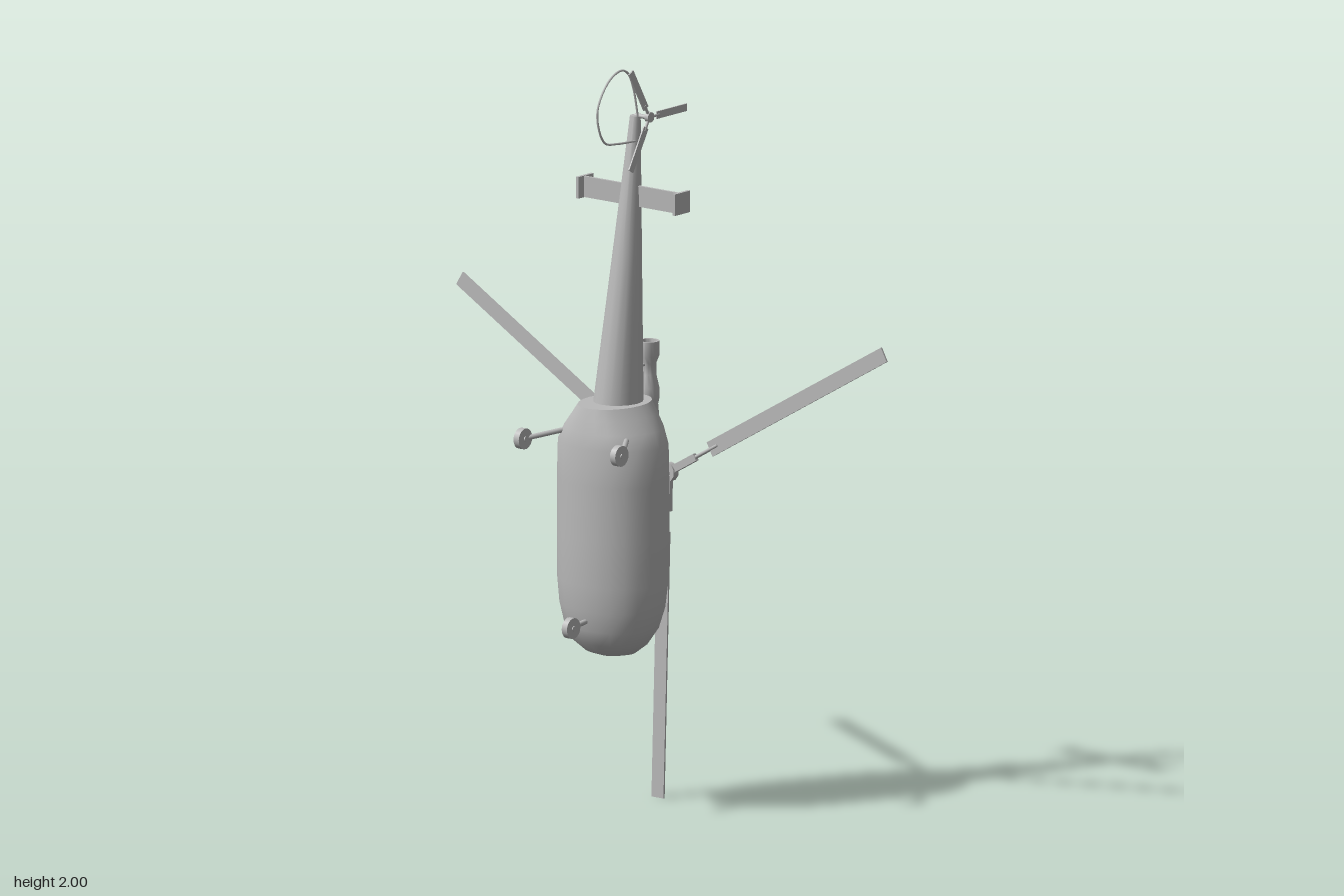
import * as THREE from 'three';
import { toCreasedNormals } from 'three/addons/utils/BufferGeometryUtils.js';

const V = (x, y, z) => new THREE.Vector3(x, y, z);

// Skin over elliptical sections, each row = [y, half width, front z, back z], closed at both ends
function loft(rows, seg = 24) {
  const pos = [], idx = [];
  const mid = (r) => [r[0], 0.0005, (r[2] + r[3]) / 2 + 0.0005, (r[2] + r[3]) / 2 - 0.0005];
  const all = [mid(rows[0]), ...rows, mid(rows[rows.length - 1])];
  all.forEach(([y, w, zf, zb], i) => {
    for (let j = 0; j < seg; j++) {
      const a = (j / seg) * Math.PI * 2;
      pos.push(Math.cos(a) * w, y, (zf + zb) / 2 + (Math.sin(a) * (zf - zb)) / 2);
      if (i < all.length - 1) {
        const p = i * seg + j, q = i * seg + ((j + 1) % seg);
        idx.push(p, p + seg, q, q, p + seg, q + seg);
      }
    }
  });
  const g = new THREE.BufferGeometry();
  g.setAttribute('position', new THREE.Float32BufferAttribute(pos, 3));
  g.setIndex(idx);
  return toCreasedNormals(g, 0.65);
}

export function createModel() {
  const model = new THREE.Group();
  model.name = 'helicopter';
  const grey = new THREE.MeshStandardMaterial({ color: 0xb9b9b9 });
  grey.name = 'light grey';

  const add = (name, geo, parent = model, x = 0, y = 0, z = 0) => {
    const m = new THREE.Mesh(geo, grey);
    m.name = name;
    m.position.set(x, y, z);
    parent.add(m);
    return m;
  };
  const box = (name, w, h, d, x, y, z, parent) =>
    add(name, new THREE.BoxGeometry(w, h, d), parent, x, y, z);
  const rod = (name, a, b, r, parent) => {
    const m = add(name, new THREE.CylinderGeometry(r, r, a.distanceTo(b), 10), parent);
    m.position.copy(a).lerp(b, 0.5);
    m.quaternion.setFromUnitVectors(V(0, 1, 0), b.clone().sub(a).normalize());
    return m;
  };

  // Body with its nose pointing down and belly towards +z
  add('fuselage', loft([
    [0.428, 0.035, 0.06, 0.01], [0.437, 0.075, 0.085, -0.02], [0.465, 0.113, 0.113, -0.047],
    [0.505, 0.137, 0.13, -0.076], [0.56, 0.152, 0.142, -0.094], [0.63, 0.159, 0.148, -0.104],
    [0.75, 0.16, 0.149, -0.108], [0.9, 0.16, 0.149, -0.108], [1.0, 0.157, 0.148, -0.108],
    [1.04, 0.137, 0.141, -0.107], [1.075, 0.109, 0.134, -0.104], [1.105, 0.086, 0.127, -0.1],
  ]));
  add('tailBoom', loft([
    [1.08, 0.066, 0.072, -0.07], [1.5, 0.038, 0.002, -0.078], [1.862, 0.014, -0.057, -0.086],
  ], 16));

  // Tailplane with end plates
  box('tailplane', 0.33, 0.056, 0.008, 0, 1.65, -0.056);
  for (const s of [-1, 1]) box('endPlate', 0.009, 0.058, 0.062, s * 0.164, 1.65, -0.062);

  // Turbine and exhaust
  const profile = [[0.0005, 0.975], [0.016, 0.975], [0.018, 0.995], [0.026, 1.01], [0.028, 1.04],
    [0.025, 1.075], [0.028, 1.09], [0.028, 1.12], [0.02, 1.155], [0.02, 1.185], [0.028, 1.205],
    [0.028, 1.245], [0.022, 1.245], [0.018, 1.19], [0.0005, 1.19]];
  const turbine = new THREE.LatheGeometry(profile.map(([r, y]) => new THREE.Vector2(r, y)), 20);
  add('turbine', toCreasedNormals(turbine, 0.6), model, 0, 0, -0.127);
  box('turbineGearbox', 0.042, 0.056, 0.042, 0, 0.973, -0.149);
  rod('driveShaft', V(0, 0.85, -0.16), V(0, 0.96, -0.16), 0.011);
  rod('turbineMount', V(0, 1.04, -0.09), V(0, 1.04, -0.12), 0.008);
  rod('ventPipe', V(0, 1.08, -0.071), V(0, 1.183, -0.071), 0.004);
  rod('ventPipeElbow', V(0, 1.183, -0.068), V(0, 1.183, -0.118), 0.004);

  // Main rotor, tilted slightly
  box('mainGearbox', 0.058, 0.056, 0.066, 0, 0.843, -0.132);
  rod('rotorMast', V(0, 0.862, -0.12), V(0, 0.876, -0.21), 0.011);
  const rotor = new THREE.Group();
  rotor.name = 'mainRotor';
  rotor.position.set(0, 0.876, -0.21);
  rotor.rotation.x = -0.034;
  model.add(rotor);
  rod('rotorHub', V(0, 0, -0.01), V(0, 0, 0.01), 0.026, rotor);
  for (const [angle, length, shift] of [[Math.PI, 0.875, 0.012], [Math.PI / 3, 0.834, 0], [-Math.PI / 3, 0.834, 0]]) {
    const arm = new THREE.Group();
    arm.name = 'rotorArm';
    arm.rotation.z = angle;
    rotor.add(arm);
    box('bladeGrip', 0.02, 0.09, 0.012, 0, 0.06, 0, arm);
    rod('bladeRoot', V(0, 0.09, 0), V(shift, 0.19, 0), 0.005, arm);
    box('rotorBlade', 0.041, length - 0.16, 0.005, shift, (length + 0.16) / 2, 0, arm);
  }

  // Tail rotor on the side of the boom
  rod('tailRotorShaft', V(0, 1.862, -0.072), V(0.052, 1.862, -0.072), 0.006);
  const tail = new THREE.Group();
  tail.name = 'tailRotor';
  tail.position.set(0.049, 1.864, -0.07);
  model.add(tail);
  rod('tailRotorHub', V(-0.006, 0, 0), V(0.006, 0, 0), 0.014, tail);
  for (let i = 0; i < 3; i++) {
    const arm = new THREE.Group();
    arm.name = 'tailRotorArm';
    arm.rotation.x = -Math.PI / 2 + (i * Math.PI * 2) / 3;
    tail.add(arm);
    rod('tailBladeRoot', V(0, 0, 0), V(0, 0.04, 0), 0.004, arm);
    box('tailBlade', 0.004, 0.124, 0.02, 0, 0.092, 0, arm);
  }

  // Bent wire guard round the tail rotor
  const guard = [[1.862, -0.066], [1.945, -0.046], [1.985, -0.025], [1.997, 0.005], [1.975, 0.056],
    [1.91, 0.1], [1.855, 0.096], [1.812, 0.07], [1.802, 0.02], [1.797, -0.055]];
  const curve = new THREE.CatmullRomCurve3(guard.map(([y, z]) => V(0.013, y, z)));
  add('tailGuard', new THREE.TubeGeometry(curve, 50, 0.003, 6));

  // Three-wheel undercarriage
  const wheel = (name, x, y) => {
    rod(name, V(x - 0.009, y, 0.195), V(x + 0.009, y, 0.195), 0.028).geometry =
      new THREE.CylinderGeometry(0.028, 0.028, 0.018, 18);
    rod(name + 'Axle', V(x - 0.012, y, 0.195), V(x + 0.012, y, 0.195), 0.007);
  };
  wheel('noseWheel', 0, 0.525);
  rod('noseStrut', V(0, 0.525, 0.195), V(0, 0.535, 0.11), 0.007);
  for (const s of [-1, 1]) {
    wheel('mainWheel', s * 0.164, 1.013);
    rod('mainStrut', V(s * 0.16, 1.013, 0.178), V(s * 0.1, 1.03, 0.085), 0.007);
  }
  return model;
}
